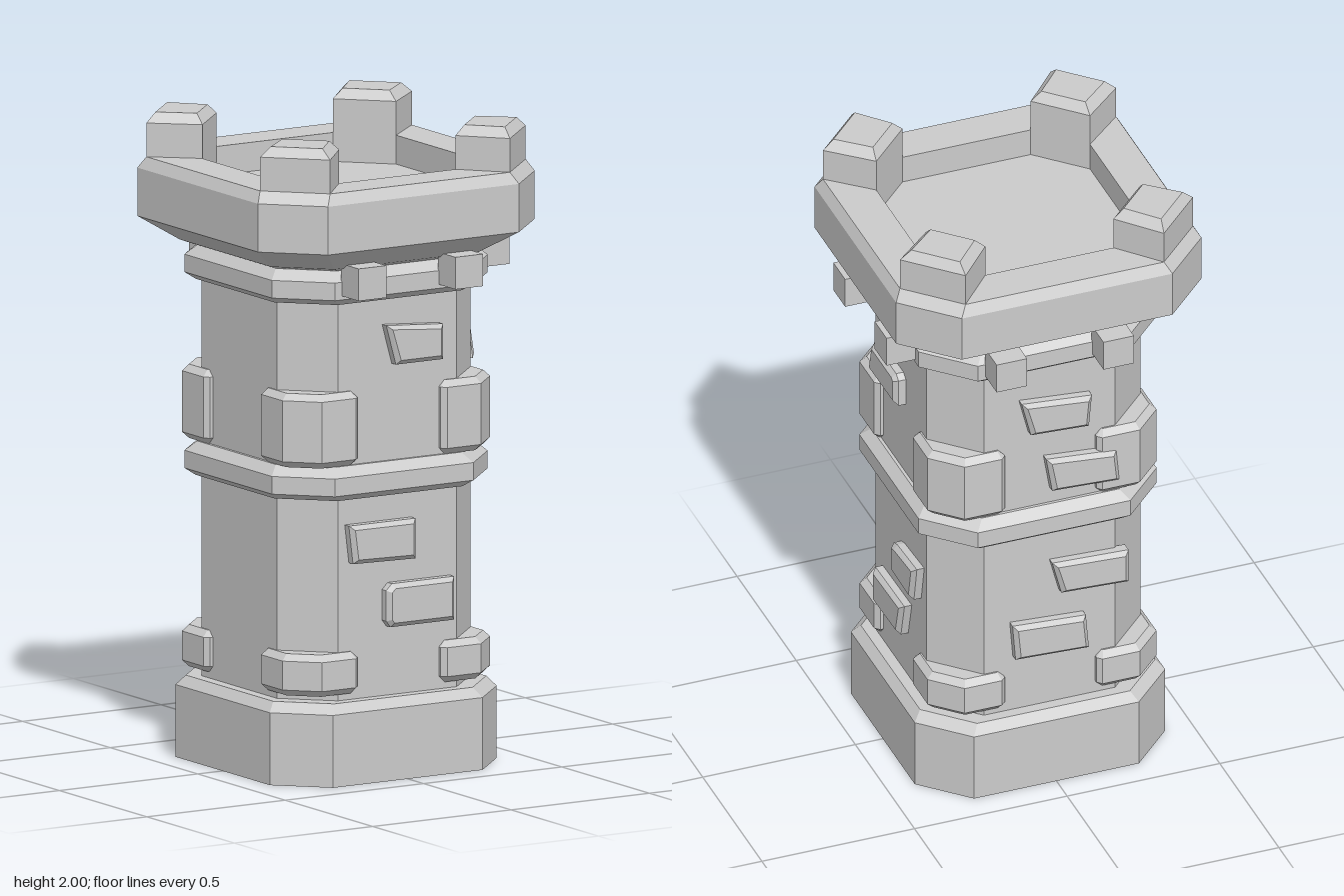
import * as THREE from 'three';

const mat = new THREE.MeshStandardMaterial({ color: 0xcccccc, flatShading: true });

function addMesh(parent, name, geo, turn = 0) {
  const m = new THREE.Mesh(geo, mat);
  m.name = name;
  m.rotation.y = turn;
  parent.add(m);
  return m;
}

// Closed solid through a stack of rings; each ring is a list of [x, y, z]
function loft(rings) {
  const pos = [];
  const tri = (a, b, c) => pos.push(...a, ...b, ...c);
  const n = rings[0].length;
  for (let r = 0; r < rings.length - 1; r++) {
    const a = rings[r], b = rings[r + 1];
    for (let i = 0; i < n; i++) {
      const j = (i + 1) % n;
      tri(a[i], a[j], b[j]);
      tri(a[i], b[j], b[i]);
    }
  }
  const bottom = rings[0], top = rings[rings.length - 1];
  for (let i = 1; i < n - 1; i++) {
    tri(top[0], top[i], top[i + 1]);
    tri(bottom[0], bottom[i + 1], bottom[i]);
  }
  const g = new THREE.BufferGeometry();
  g.setAttribute('position', new THREE.Float32BufferAttribute(pos, 3));
  g.computeVertexNormals();
  return g;
}

// Square with cut corners: h = half width, f = half length of the straight side
const octagon = (y, h, f) => [[f, h], [h, f], [h, -f], [f, -h], [-f, -h], [-h, -f], [-h, f], [-f, h]]
  .map(([x, z]) => [x, y, z]);
const octSolid = (profile) => loft(profile.map((p) => octagon(...p)));

// Bevelled plate cut from an outline; the bevel stays inside the outline
function plate(points, height, bevel) {
  const shape = new THREE.Shape(points.map(([x, y]) => new THREE.Vector2(x, y)));
  const g = new THREE.ExtrudeGeometry(shape, {
    depth: height - 2 * bevel, bevelEnabled: true, bevelThickness: bevel,
    bevelSize: bevel, bevelOffset: -bevel, bevelSegments: 1,
  });
  return g.translate(0, 0, bevel);
}

export function createModel() {
  const tower = new THREE.Group();
  tower.name = 'tower';

  // Body
  addMesh(tower, 'base', octSolid([[0, 0.41, 0.27], [0.225, 0.41, 0.27], [0.255, 0.385, 0.25]]));
  addMesh(tower, 'shaft', octSolid([[0.25, 0.35, 0.215], [1.62, 0.35, 0.215]]));
  for (const [name, y, h] of [['middleBand', 0.88, 0.105], ['upperBand', 1.49, 0.105]]) {
    addMesh(tower, name, octSolid([
      [y, 0.365, 0.225], [y + 0.02, 0.39, 0.25], [y + h - 0.03, 0.39, 0.25], [y + h, 0.36, 0.225],
    ]));
  }

  // Crown with sunken floor
  addMesh(tower, 'crown', octSolid([
    [1.595, 0.36, 0.22], [1.61, 0.4, 0.26], [1.68, 0.5, 0.345], [1.83, 0.5, 0.345],
    [1.865, 0.48, 0.325], [1.865, 0.35, 0.21], [1.775, 0.35, 0.21],
  ]));

  // Corner merlons
  const foot = [[0.325, 0.48], [0.48, 0.325], [0.35, 0.21], [0.21, 0.35]];
  const merlonRing = (y, s) => foot.map(([x, z]) => [0.342 + (x - 0.342) * s, y, 0.342 + (z - 0.342) * s]);
  const merlon = loft([merlonRing(1.77, 1), merlonRing(1.97, 1), merlonRing(2, 0.74)]);

  // Stone blocks wrapping the corners
  const wrap = [[0.15, 0.28], [0.28, 0.15], [0.36, 0.15], [0.375, 0.165],
    [0.375, 0.287], [0.287, 0.375], [0.165, 0.375], [0.15, 0.36]];
  const cornerBlock = (y0, y1) => plate(wrap, y1 - y0, 0.02).rotateX(-Math.PI / 2).translate(0, y0, 0);
  const lowBlock = cornerBlock(0.275, 0.405);
  const highBlock = cornerBlock(0.985, 1.215);
  for (let i = 0; i < 4; i++) {
    const turn = i * Math.PI / 2;
    addMesh(tower, 'merlon', merlon, turn);
    addMesh(tower, 'lowerCornerBlock', lowBlock, turn);
    addMesh(tower, 'upperCornerBlock', highBlock, turn);
  }

  // Wall details per side: outlines as [across, up]
  const sides = [
    { name: 'front', turn: 0, bricks: [
      [[-0.055, 1.41], [-0.02, 1.285], [0.15, 1.285], [0.15, 1.395]],
      [[-0.19, 0.8], [-0.175, 0.68], [0.05, 0.675], [0.05, 0.8]],
      [[-0.055, 0.585], [-0.055, 0.49], [-0.04, 0.47], [0.19, 0.47], [0.19, 0.605], [-0.035, 0.605]],
    ] },
    { name: 'side', turn: Math.PI / 2, bricks: [
      [[-0.165, 1.34], [-0.19, 1.235], [0.04, 1.235], [0.04, 1.325], [0.02, 1.34]],
      [[0, 0.71], [0, 0.61], [0.17, 0.605], [0.195, 0.73], [0.03, 0.72]],
      [[-0.155, 0.525], [-0.155, 0.405], [0.06, 0.41], [0.09, 0.53]],
    ] },
    { name: 'back', turn: Math.PI, bricks: [
      [[-0.1, 1.38], [-0.07, 1.26], [0.12, 1.25], [0.13, 1.36]],
      [[-0.02, 1.16], [0, 1.04], [0.22, 1.03], [0.21, 1.14]],
      [[0, 0.775], [0.03, 0.66], [0.25, 0.65], [0.25, 0.765]],
      [[-0.13, 0.575], [-0.12, 0.45], [0.12, 0.44], [0.11, 0.56]],
    ] },
  ];
  for (const { name, turn, bricks } of sides) {
    for (const outline of bricks) {
      addMesh(tower, name + 'Brick', plate(outline, 0.06, 0.014).translate(0, 0, 0.328), turn);
    }
    for (const x of [-0.175, 0.175]) {
      addMesh(tower, name + 'Bracket', new THREE.BoxGeometry(0.1, 0.1, 0.1).translate(x, 1.572, 0.435), turn);
    }
  }
  return tower;
}
